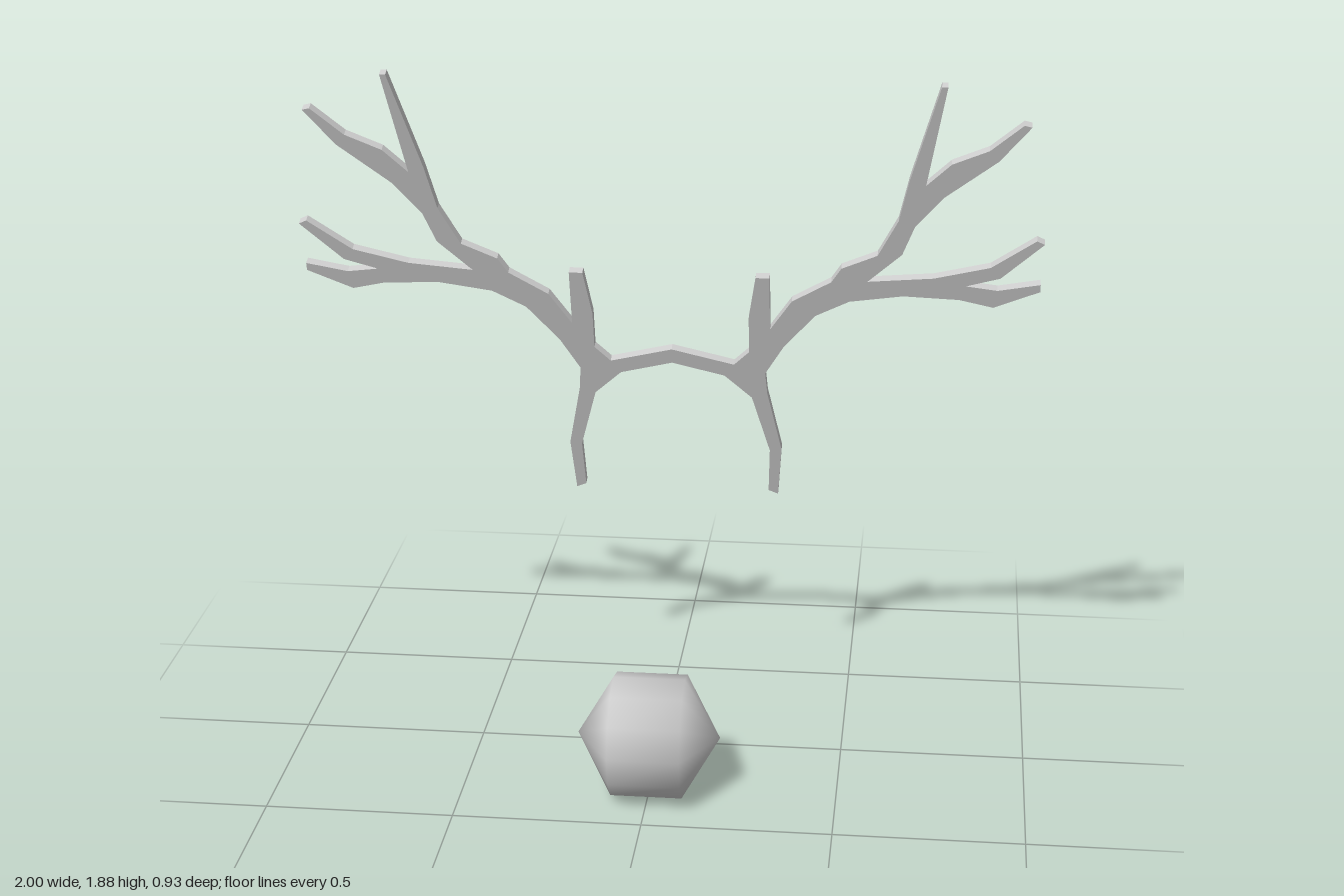
import * as THREE from 'three';

// Outline of the left antler as seen from the front, from the middle of the
// headband, up around the tines and back along the underside.
const OUTLINE = [
  // headband top and inner tine
  [0, 1.064], [0.171, 1.021], [0.214, 1.064], [0.214, 1.171], [0.235, 1.3], [0.272, 1.3], [0.272, 1.139],
  // inner edge of the main beam, up to the tall tip
  [0.332, 1.23], [0.438, 1.294], [0.465, 1.337], [0.561, 1.38], [0.615, 1.487], [0.642, 1.61],
  [0.717, 1.877], [0.733, 1.877], [0.684, 1.594],
  // upper outer tine
  [0.749, 1.658], [0.845, 1.7], [0.93, 1.775], [0.95, 1.77], [0.87, 1.67], [0.733, 1.561],
  [0.658, 1.47], [0.626, 1.385], [0.535, 1.299],
  // lower forked tine
  [0.711, 1.315], [0.861, 1.353], [0.979, 1.438], [1, 1.428], [0.888, 1.321], [0.797, 1.294],
  [0.882, 1.283], [0.995, 1.305], [0.995, 1.283], [0.872, 1.23], [0.781, 1.251], [0.631, 1.257],
  // underside of the beam
  [0.487, 1.235], [0.396, 1.187], [0.31, 1.086], [0.257, 0.995],
  // side leg of the headband and its underside
  [0.262, 0.93], [0.3, 0.743], [0.289, 0.588], [0.262, 0.6], [0.267, 0.738], [0.219, 0.914],
  [0.144, 0.984], [0, 1.021],
];
const TILT = Math.atan(0.346);
const THICKNESS = 0.025;

export function createModel() {
  const model = new THREE.Group();
  const material = new THREE.MeshStandardMaterial({ color: 0xcccccc });

  // Antlers and headband: one flat mirrored plate, leaning forward at the top
  const half = OUTLINE.map(([x, y]) => new THREE.Vector2(x, y / Math.cos(TILT)));
  const mirrored = half.slice(1, -1).reverse().map((p) => new THREE.Vector2(-p.x, p.y));
  const plate = new THREE.ExtrudeGeometry(new THREE.Shape([...half, ...mirrored]), {
    depth: THICKNESS,
    bevelEnabled: false,
  });
  plate.translate(0, 0, -THICKNESS / 2);
  const antlers = new THREE.Mesh(plate, material);
  antlers.name = 'antlers';
  antlers.rotation.x = TILT;
  antlers.position.z = -0.654;
  model.add(antlers);

  // Nose: coarse smooth-shaded ball with its poles on the x axis
  const ball = new THREE.SphereGeometry(0.19, 12, 3);
  ball.rotateZ(Math.PI / 2);
  const nose = new THREE.Mesh(ball, material);
  nose.name = 'nose';
  nose.position.set(0, 0.166, 0.3);
  model.add(nose);

  return model;
}
